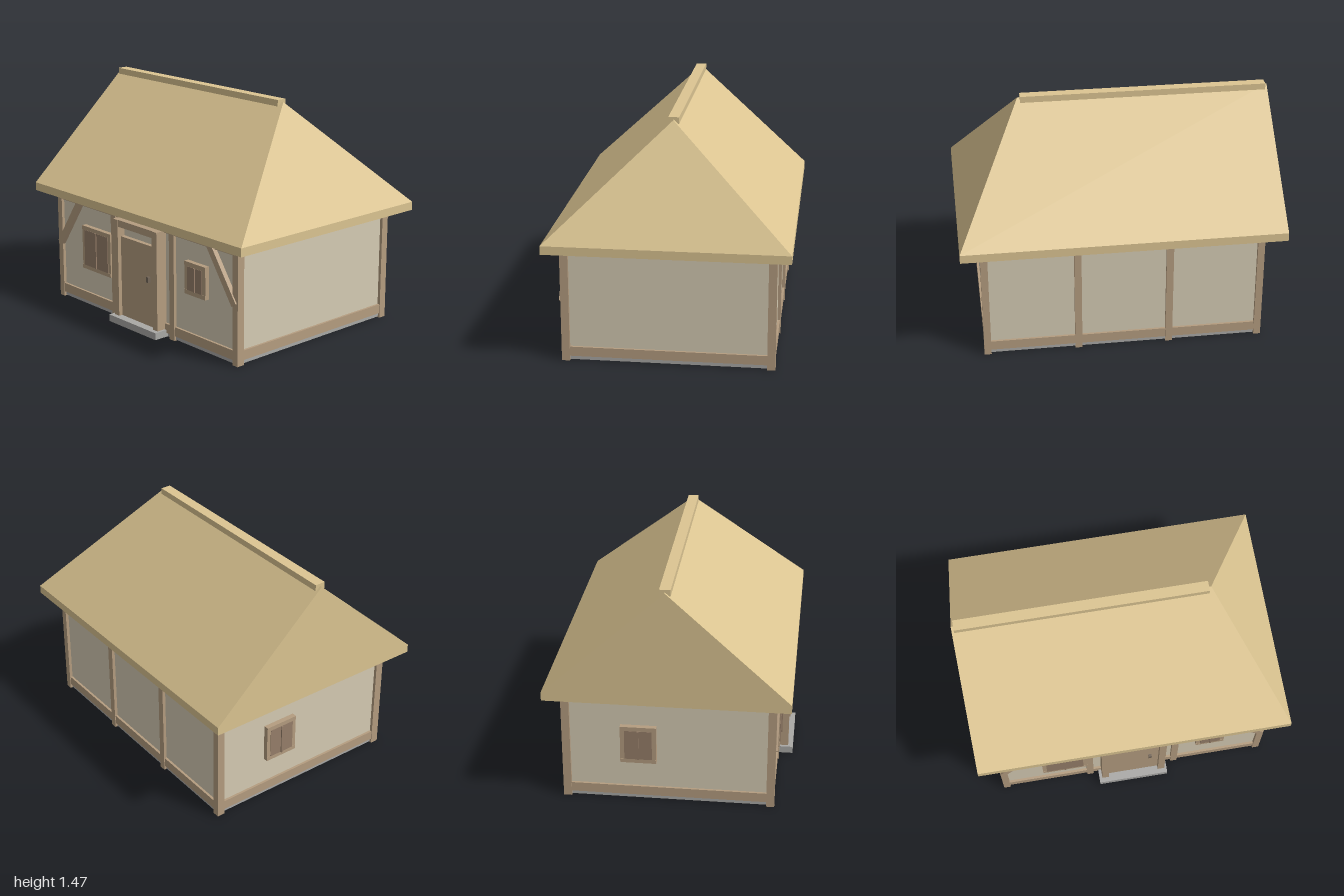
import * as THREE from 'three';

const mat = (color) => new THREE.MeshStandardMaterial({ color, flatShading: true });

export function createModel() {
  const house = new THREE.Group();
  house.name = 'cottage';
  const wood = mat(0xb59d80), plaster = mat(0xd6ccb4), thatch = mat(0xdcc592);
  const stone = mat(0xaaa9a6), pane = mat(0x977f6a), iron = mat(0x75685a);

  // Box given by its minimum and maximum corners
  function box(name, material, [x0, y0, z0], [x1, y1, z1], parent = house) {
    const mesh = new THREE.Mesh(new THREE.BoxGeometry(x1 - x0, y1 - y0, z1 - z0), material);
    mesh.position.set((x0 + x1) / 2, (y0 + y1) / 2, (z0 + z1) / 2);
    mesh.name = name;
    parent.add(mesh);
    return mesh;
  }

  // Stone base and plaster walls
  box('foundation', stone, [-0.865, 0.005, -0.635], [0.865, 0.03, 0.635]);
  box('walls', plaster, [-0.86, 0.03, -0.63], [0.86, 0.73, 0.63]);

  // Timber frame: posts, sills and top beams
  for (const s of [-1, 1]) {
    const z0 = s * 0.625 - 0.025, z1 = s * 0.625 + 0.025;
    for (const x of [-0.857, -0.286, 0.286, 0.857]) {
      box('post', wood, [x - 0.022, 0, z0], [x + 0.022, 0.73, z1]);
    }
    box('longSill', wood, [-0.86, 0.03, s * 0.623 - 0.022], [0.86, 0.09, s * 0.623 + 0.022]);
    box('topBeam', wood, [-0.86, 0.675, s * 0.623 - 0.022], [0.86, 0.727, s * 0.623 + 0.022]);
    box('endSill', wood, [s * 0.853 - 0.022, 0.03, -0.62], [s * 0.853 + 0.022, 0.09, 0.62]);

    // Slanted corner brace on the front
    const brace = new THREE.Mesh(new THREE.BoxGeometry(0.043, 0.395, 0.03), wood);
    brace.name = 'brace';
    brace.position.set(s * 0.741, 0.54, 0.645);
    brace.rotation.z = s * Math.atan2(0.225, 0.325);
    house.add(brace);
  }

  // Window facing +z, centred on its group, with two panes and a mullion
  function addWindow(w, h, bar, x, y, z, turn) {
    const g = new THREE.Group();
    g.name = 'window';
    const a = w / 2, b = h / 2;
    for (const s of [-1, 1]) {
      const mx = s * (a - bar / 2), my = s * (b - bar / 2);
      box('windowJamb', wood, [mx - bar / 2, -b, 0], [mx + bar / 2, b, 0.03], g);
      box('windowRail', wood, [-a, my - bar / 2, 0], [a, my + bar / 2, 0.032], g);
      box('pane', pane, [s > 0 ? 0.004 : bar - a, bar - b, 0], [s > 0 ? a - bar : -0.004, b - bar, 0.034], g);
    }
    box('mullion', pane, [-0.006, bar - b, 0], [0.006, b - bar, 0.041], g);
    g.position.set(x, y, z);
    g.rotation.y = turn;
    house.add(g);
  }
  addWindow(0.295, 0.29, 0.026, -0.452, 0.405, 0.63, 0);
  addWindow(0.187, 0.205, 0.028, 0.514, 0.447, 0.63, 0);
  addWindow(0.22, 0.245, 0.026, -0.866, 0.392, -0.18, -Math.PI / 2);

  // Door with frame, handle and step
  for (const s of [-1, 1]) {
    box('doorJamb', wood, [s * 0.19 - 0.0225, 0.05, 0.62], [s * 0.19 + 0.0225, 0.685, 0.705]);
  }
  box('doorHeader', wood, [-0.17, 0.64, 0.62], [0.17, 0.685, 0.7]);
  box('doorTransom', plaster, [-0.17, 0.57, 0.62], [0.17, 0.645, 0.65]);
  box('door', wood, [-0.17, 0.03, 0.62], [0.17, 0.575, 0.68]);
  box('doorHandle', iron, [0.1, 0.34, 0.68], [0.12, 0.375, 0.698]);
  box('doorStep', stone, [-0.232, 0.005, 0.63], [0.228, 0.05, 0.735]);

  // Thatched roof: upright gable at -x, sloping hip at +x
  box('eaves', thatch, [-1, 0.722, -0.738], [1, 0.775, 0.738]);
  const A = [-1, 0.775, 0.738], B = [1, 0.775, 0.738], C = [1, 0.775, -0.738];
  const D = [-1, 0.775, -0.738], E = [-1, 1.45, 0], F = [0.58, 1.45, 0];
  const faces = [A, B, F, A, F, E, C, D, E, C, E, F, B, C, F, D, A, E];
  const roofGeo = new THREE.BufferGeometry();
  roofGeo.setAttribute('position', new THREE.Float32BufferAttribute(faces.flat(), 3));
  roofGeo.computeVertexNormals();
  const roof = new THREE.Mesh(roofGeo, thatch);
  roof.name = 'roof';
  house.add(roof);
  box('ridgeCap', thatch, [-0.985, 1.425, -0.033], [0.565, 1.465, 0.033]);

  return house;
}
